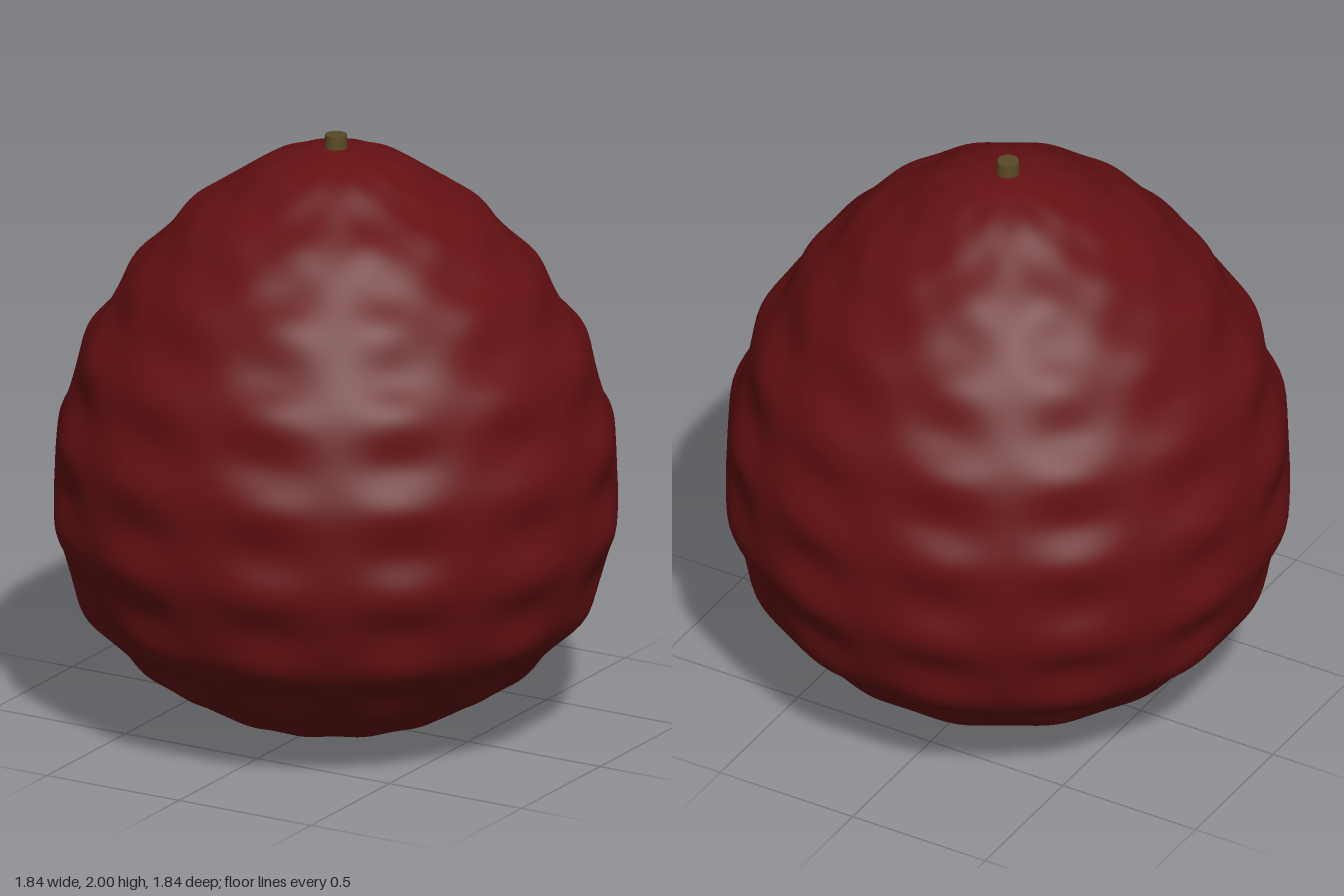
import * as THREE from 'three';
import { mergeVertices } from 'three/addons/utils/BufferGeometryUtils.js';

// Egg-shaped profile (radius, height), from the bottom pole to the top pole
const PROFILE = [
  [0, 0], [0.23, 0.025], [0.46, 0.095], [0.73, 0.29], [0.87, 0.51], [0.92, 0.8], [0.885, 1.07],
  [0.81, 1.29], [0.705, 1.47], [0.53, 1.69], [0.29, 1.87], [0.13, 1.94], [0, 1.96],
];
const RINGS = 20;
const LOBES = 12;

function createFruitGeometry() {
  const rows = 160;
  const curve = new THREE.SplineCurve(PROFILE.map(([r, y]) => new THREE.Vector2(r, y)));
  const points = curve.getSpacedPoints(rows);
  points[0].x = points[rows].x = 0;
  points.forEach((p) => { p.x = Math.max(p.x, 0); });
  const geometry = new THREE.LatheGeometry(points, 120);

  // Push the skin in and out in rows of shallow bumps that fade towards the poles
  const pos = geometry.attributes.position;
  const normal = geometry.attributes.normal;
  for (let i = 0; i < pos.count; i++) {
    const t = (i % (rows + 1)) / rows;
    const angle = Math.atan2(pos.getX(i), pos.getZ(i));
    const lobe = 0.5 - 0.5 * Math.cos(LOBES * angle);
    const fade = Math.sin(Math.PI * t);
    const bump = 0.018 * fade * Math.sin(RINGS * Math.PI * t) * (0.2 + 0.8 * lobe);
    pos.setXYZ(i,
      pos.getX(i) + normal.getX(i) * bump,
      pos.getY(i) + normal.getY(i) * bump,
      pos.getZ(i) + normal.getZ(i) * bump);
  }

  // Weld the seam so the shading stays smooth all round
  geometry.deleteAttribute('uv');
  geometry.deleteAttribute('normal');
  const welded = mergeVertices(geometry, 1e-5);
  welded.computeVertexNormals();
  return welded;
}

export function createModel() {
  const skin = new THREE.MeshStandardMaterial({ color: 0x651012 });
  skin.name = 'dark red skin';
  const wood = new THREE.MeshStandardMaterial({ color: 0x594a26 });
  wood.name = 'olive brown stem';

  const model = new THREE.Group();
  model.name = 'fruit';

  const body = new THREE.Mesh(createFruitGeometry(), skin);
  body.name = 'body';
  model.add(body);

  // Short stem sunk into the crown
  const stem = new THREE.Mesh(new THREE.CylinderGeometry(0.036, 0.042, 0.1, 12), wood);
  stem.name = 'stem';
  stem.position.y = 1.95;
  model.add(stem);

  return model;
}
